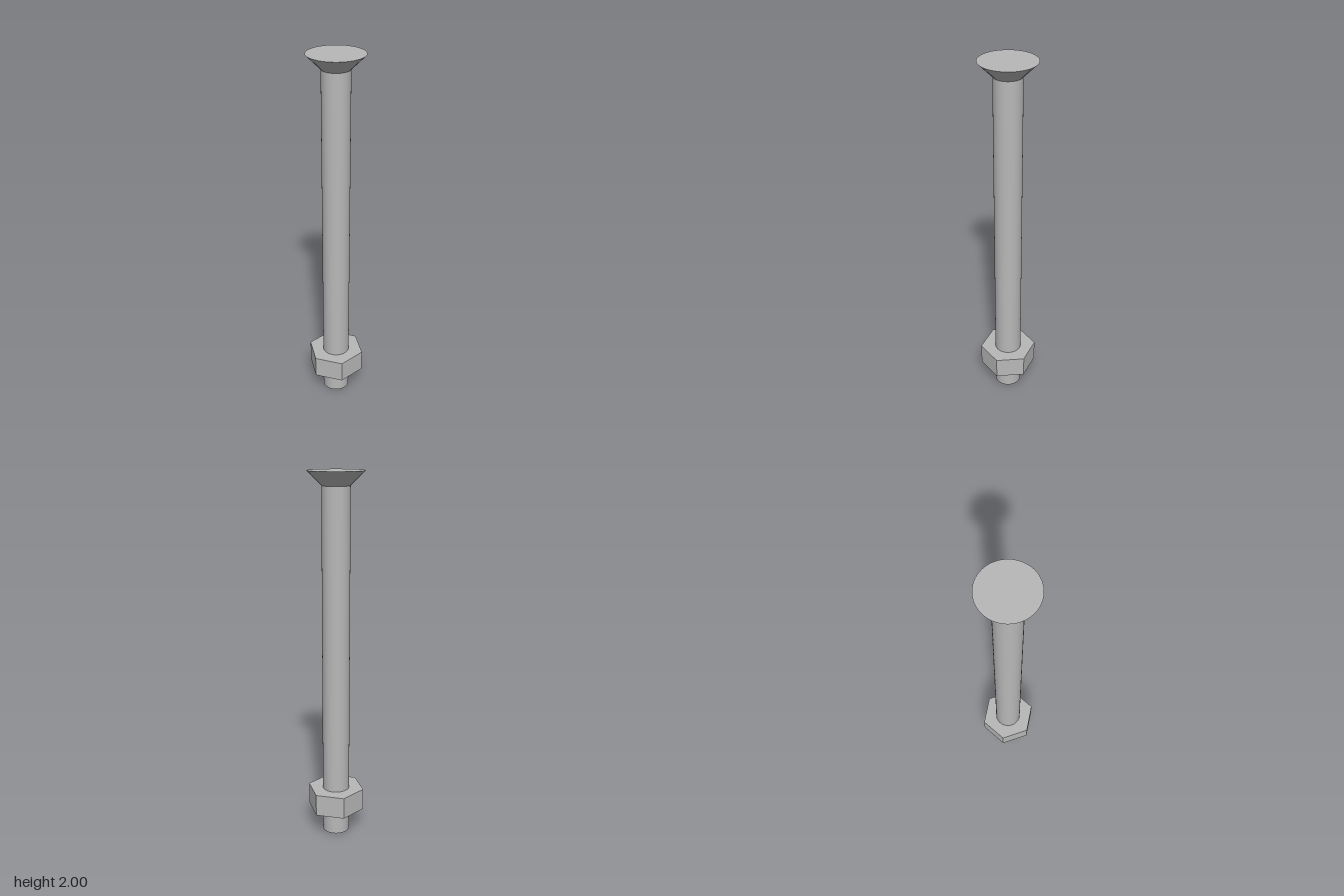
import * as THREE from 'three';

const SHANK_R = 0.074, HEAD_R = 0.149, NUT_R = 0.158;

export function createModel() {
  const model = new THREE.Group();
  model.name = 'countersunkBolt';
  const steel = new THREE.MeshStandardMaterial({ color: 0xb8b8b8 });
  steel.name = 'steel grey';

  const add = (name, geometry) => {
    const mesh = new THREE.Mesh(geometry, steel);
    mesh.name = name;
    model.add(mesh);
  };

  // Plain round shank, closed at the foot and running up into the head
  const shankTop = 1.925;
  add('shank', new THREE.CylinderGeometry(SHANK_R, SHANK_R, shankTop, 64).translate(0, shankTop / 2, 0));

  // Countersunk head: a cone widening to a flat top
  const headHeight = 2 - shankTop;
  add('head', new THREE.CylinderGeometry(HEAD_R, SHANK_R, headHeight, 64).translate(0, shankTop + headHeight / 2, 0));

  // Hexagonal nut with corners on the x axis, bored to fit the shank
  const hexagon = new THREE.Shape();
  for (let i = 0; i < 6; i++) {
    const a = (i * Math.PI) / 3;
    hexagon[i ? 'lineTo' : 'moveTo'](NUT_R * Math.cos(a), NUT_R * Math.sin(a));
  }
  hexagon.closePath();
  hexagon.holes.push(new THREE.Path().absarc(0, 0, SHANK_R - 0.001, 0, Math.PI * 2, true));
  const nut = new THREE.ExtrudeGeometry(hexagon, { depth: 0.122, bevelEnabled: false, curveSegments: 32 });
  add('nut', nut.rotateX(-Math.PI / 2).translate(0, 0.137, 0));

  return model;
}
